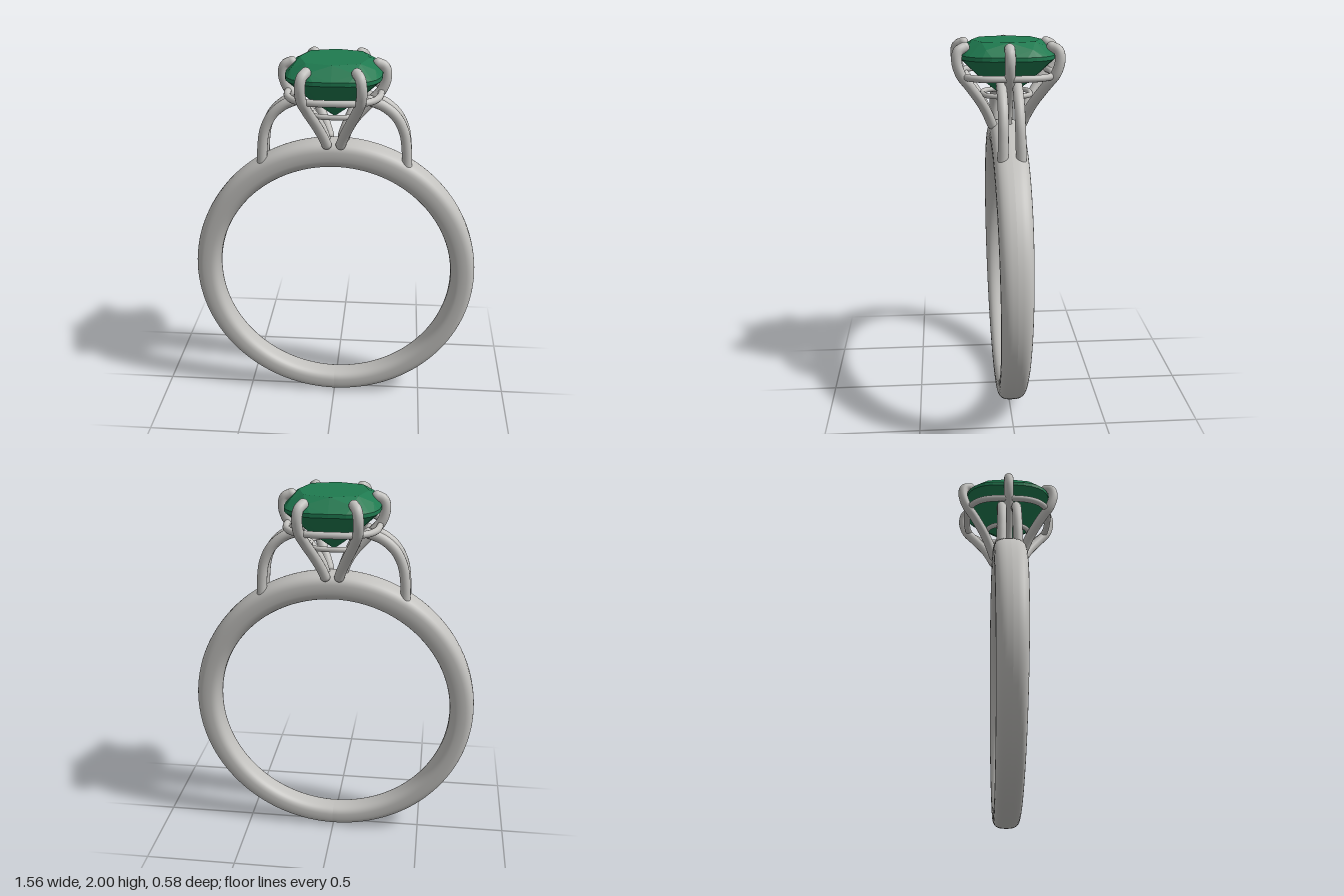
import * as THREE from 'three';
import { ConvexGeometry } from 'three/addons/geometries/ConvexGeometry.js';

const metal = new THREE.MeshStandardMaterial({ color: 0xc2c1be });
metal.name = 'silver metal';
const green = new THREE.MeshStandardMaterial({ color: 0x1f7a50 });
green.name = 'green gem';

// Point on a superellipse: square-ish outline with rounded corners
function squircle(angle, a, b, n) {
  const c = Math.cos(angle), s = Math.sin(angle);
  return [a * Math.sign(c) * Math.abs(c) ** (2 / n), b * Math.sign(s) * Math.abs(s) ** (2 / n)];
}

function cushionRing(count, half, y, n = 3.2, offset = 0) {
  return Array.from({ length: count }, (_, i) => {
    const [x, z] = squircle(((i + offset) / count) * Math.PI * 2, half, half, n);
    return new THREE.Vector3(x, y, z);
  });
}

// Shank: rounded section swept round the finger hole, wider and thicker at the top
function bandGeometry() {
  const around = 128, section = 32, pos = [], index = [];
  for (let i = 0; i <= around; i++) {
    const t = (i / around) * Math.PI * 2;
    const up = (1 - Math.cos(t)) / 2; // 0 at the bottom, 1 at the top
    const thick = 0.117 + 0.03 * up, halfWidth = 0.07 + 0.021 * up;
    for (let j = 0; j <= section; j++) {
      const [r, z] = squircle((j / section) * Math.PI * 2, thick / 2, halfWidth, 2.8);
      const radius = 0.65 + thick / 2 + r;
      pos.push(Math.sin(t) * radius, 0.77 - Math.cos(t) * radius, z);
    }
  }
  const row = section + 1;
  for (let i = 0; i < around; i++) {
    for (let j = 0; j < section; j++) {
      const a = i * row + j, b = a + row;
      index.push(a, b, a + 1, b, b + 1, a + 1);
    }
  }
  const g = new THREE.BufferGeometry();
  g.setAttribute('position', new THREE.Float32BufferAttribute(pos, 3));
  g.setIndex(index);
  g.computeVertexNormals();
  return g;
}

// Round wire through points, with ball ends
function wire(name, points, radius) {
  const group = new THREE.Group();
  group.name = name;
  const curve = new THREE.CatmullRomCurve3(points.map(p => new THREE.Vector3(...p)));
  group.add(new THREE.Mesh(new THREE.TubeGeometry(curve, 48, radius, 14), metal));
  for (const p of [points[0], points[points.length - 1]]) {
    const ball = new THREE.Mesh(new THREE.SphereGeometry(radius, 14, 10), metal);
    ball.position.set(...p);
    group.add(ball);
  }
  group.children.forEach((m, i) => { m.name = name + (i ? 'End' : 'Wire'); });
  return group;
}

// Closed cushion-shaped wire under the stone
function rail(name, half, y, radius) {
  const curve = new THREE.CatmullRomCurve3(cushionRing(48, half, y, 3), true);
  const mesh = new THREE.Mesh(new THREE.TubeGeometry(curve, 96, radius, 12, true), metal);
  mesh.name = name;
  return mesh;
}

export function createModel() {
  const model = new THREE.Group();
  model.name = 'ring';

  const band = new THREE.Mesh(bandGeometry(), metal);
  band.name = 'band';
  model.add(band);

  // Faceted cushion stone: table, crown, girdle, pavilion and culet
  const stone = new THREE.Mesh(new ConvexGeometry([
    ...cushionRing(8, 0.18, 2.0, 2.5),
    ...cushionRing(8, 0.222, 1.967, 3, 0.5),
    ...cushionRing(32, 0.248, 1.932),
    ...cushionRing(32, 0.248, 1.912),
    ...cushionRing(8, 0.128, 1.79, 2.6, 0.5),
    new THREE.Vector3(0, 1.69, 0),
  ]), green);
  stone.name = 'stone';
  model.add(stone);

  model.add(rail('upperRail', 0.24, 1.825, 0.018), rail('lowerRail', 0.125, 1.72, 0.014));

  for (const sx of [1, -1]) {
    // Prong at the middle of each side
    model.add(wire('sideProng', [
      [0.22, 1.973], [0.255, 1.955], [0.266, 1.91], [0.245, 1.84], [0.18, 1.765],
      [0.105, 1.68], [0.065, 1.61], [0.045, 1.55],
    ].map(([x, y]) => [sx * x, y, 0]), 0.027));

    for (const sz of [1, -1]) {
      // Corner prongs
      model.add(wire('cornerProng', [
        [0.125, 1.973, 0.222], [0.143, 1.955, 0.255], [0.151, 1.91, 0.264], [0.148, 1.84, 0.245],
        [0.125, 1.77, 0.195], [0.085, 1.68, 0.135], [0.055, 1.61, 0.1], [0.037, 1.56, 0.08],
      ].map(([x, y, z]) => [sx * x, y, sz * z]), 0.027));

      // Paired shoulder wires from the band to the setting
      model.add(wire('shoulder', [
        [0.385, 1.43, 0.046], [0.38, 1.53, 0.044], [0.365, 1.62, 0.042], [0.325, 1.7, 0.041],
        [0.26, 1.757, 0.041], [0.18, 1.79, 0.041],
      ].map(([x, y, z]) => [sx * x, y, sz * z]), 0.027));
    }
  }
  return model;
}
